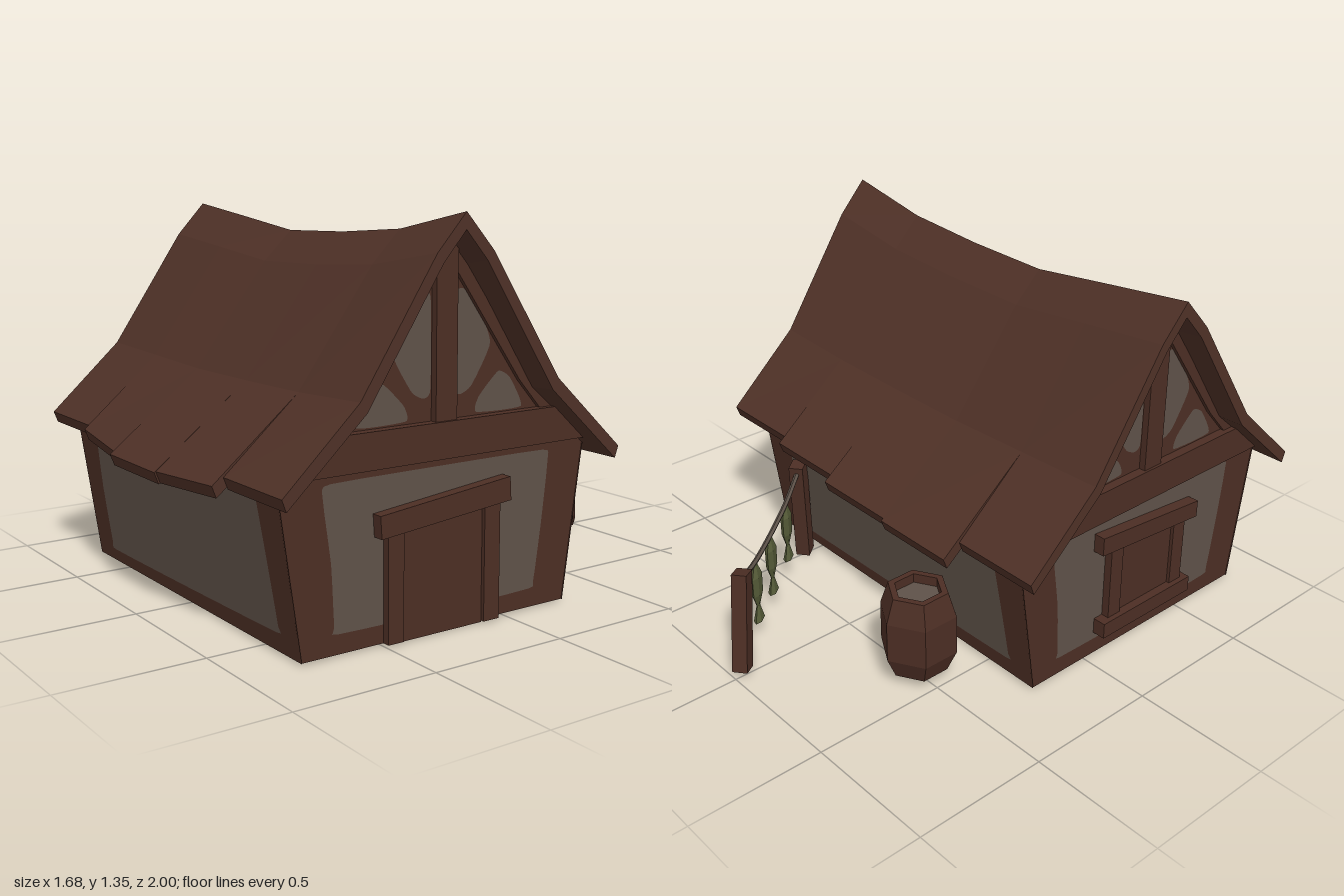
import * as THREE from 'three';

const mat = (name, color, side = THREE.FrontSide) => {
  const m = new THREE.MeshStandardMaterial({ color, side, flatShading: true });
  m.name = name;
  return m;
};

export function createModel() {
  const house = new THREE.Group();
  house.name = 'cottage';
  const timber = mat('timber brown', 0x4c2e24);
  const wallTimber = mat('wall timber brown', 0x4c2e24, THREE.DoubleSide);
  const plaster = mat('plaster grey', 0x5f5249, THREE.DoubleSide);
  const roofMat = mat('roof brown', 0x4f3127, THREE.DoubleSide);
  const fishMat = mat('fish green', 0x555b38);
  const ropeMat = mat('rope grey', 0x5c5148);
  const MID = 0.27; // z of the ridge

  const add = (name, geo, material, parent = house) => {
    const m = new THREE.Mesh(geo, material);
    m.name = name;
    parent.add(m);
    return m;
  };
  const shapeOf = pts => new THREE.Shape(pts.map(p => new THREE.Vector2(...p)));

  // Prism with a [z, y] outline running from x0 to x1
  const prism = (name, pts, x0, x1, material = timber) => {
    const geo = new THREE.ExtrudeGeometry(shapeOf(pts.map(([z, y]) => [-z, y])),
      { depth: x1 - x0, bevelEnabled: false });
    geo.rotateY(Math.PI / 2);
    geo.translate(x0, 0, 0);
    return add(name, geo, material);
  };

  // Flat timber panel with smooth-edged plaster patches, mapped from (u, v) to space
  const panel = (name, outline, patches, map) => {
    const place = geo => {
      const p = geo.attributes.position;
      for (let i = 0; i < p.count; i++) p.setXYZ(i, ...map(p.getX(i), p.getY(i)));
      geo.computeVertexNormals();
      return geo;
    };
    const frame = shapeOf(outline);
    for (const pts of patches) {
      const curve = new THREE.CatmullRomCurve3(
        pts.map(([u, v]) => new THREE.Vector3(u, v, 0)), true, 'catmullrom', 0.25);
      const soft = curve.getPoints(36).slice(0, -1).map(p => [p.x, p.y]);
      frame.holes.push(new THREE.Path(soft.map(p => new THREE.Vector2(...p))));
      add(name + 'Plaster', place(new THREE.ShapeGeometry(shapeOf(soft))), plaster);
    }
    add(name + 'Frame', place(new THREE.ShapeGeometry(frame)), wallTimber);
  };

  // Long walls, leaning outwards
  const longOutline = [[-0.73, 0.01], [0.73, 0.01], [0.73, 0.58], [-0.73, 0.58]];
  const longPatch = [[-0.58, 0.055], [0, 0.062], [0.6, 0.075], [0.615, 0.1], [0.605, 0.3], [0.59, 0.52],
    [0.57, 0.545], [0, 0.55], [-0.55, 0.545], [-0.575, 0.52], [-0.6, 0.3], [-0.6, 0.08]];
  for (const s of [1, -1]) {
    panel(s > 0 ? 'frontWall' : 'backWall', longOutline, [longPatch],
      (u, v) => [s * u, v, MID + s * (0.53 + 0.145 * (v - 0.01))]);
  }

  // End walls and gables; u is the distance from the ridge
  const endOutline = [[-0.53, 0.01], [0.53, 0.01], [0.613, 0.58], [-0.613, 0.58]];
  const endPatch = [[-0.4, 0.075], [0, 0.07], [0.38, 0.075], [0.4, 0.1], [0.43, 0.3], [0.455, 0.52],
    [0.43, 0.55], [0, 0.552], [-0.42, 0.55], [-0.45, 0.52], [-0.42, 0.3], [-0.41, 0.1]];
  const gableOutline = [[-0.6, 0.57], [0.6, 0.57], [0.36, 0.8], [0.09, 1.2], [0, 1.29], [-0.09, 1.2], [-0.36, 0.8]];
  const upper = [[0.047, 1.09], [0.046, 0.8], [0.075, 0.775], [0.12, 0.8], [0.195, 0.93], [0.14, 1.06], [0.085, 1.11]];
  const lower = [[0.33, 0.71], [0.14, 0.71], [0.15, 0.76], [0.23, 0.835], [0.28, 0.81]];
  const flip = pts => pts.map(([u, v]) => [-u, v]).reverse();
  for (const s of [1, -1]) {
    const side = s > 0 ? 'left' : 'right';
    const map = (u, v) => [s * 0.725, v, MID - s * u];
    panel(side + 'EndWall', endOutline, [endPatch], map);
    panel(side + 'Gable', gableOutline, [upper, flip(upper), lower, flip(lower)], map);
    // Tie beam, king post and rafters
    const range = (a, b) => (s > 0 ? [a, b] : [-b, -a]);
    prism(side + 'TieBeam', [[MID - 0.61, 0.58], [MID + 0.61, 0.58], [MID + 0.47, 0.7], [MID - 0.47, 0.7]],
      ...range(0.7, 0.76));
    prism(side + 'KingPost', [[MID - 0.042, 0.7], [MID + 0.042, 0.7], [MID + 0.042, 1.25], [MID - 0.042, 1.25]],
      ...range(0.7, 0.75));
    for (const t of [1, -1]) {
      prism(side + 'Rafter', [[0.47, 0.7], [0.31, 0.8], [0.03, 1.19], [0, 1.21], [0, 1.285], [0.09, 1.195],
        [0.36, 0.79], [0.455, 0.7]].slice(1).concat([[0.4, 0.7]]).map(([u, v]) => [MID + t * u, v]),
      ...range(0.7, 0.74));
    }
  }

  // Ceiling
  const ceiling = add('ceiling', new THREE.PlaneGeometry(1.45, 1.2), wallTimber);
  ceiling.rotation.x = Math.PI / 2;
  ceiling.position.set(0, 0.57, MID);

  // Sagging roof: five strips, each with its own eave length at front and back
  const columns = [-0.84, -0.5, -0.17, 0.17, 0.5, 0.84];
  const ridge = [1.34, 1.3, 1.26, 1.268, 1.29, 1.355];
  const frontEave = [[0.66, 0.66], [0.68, 0.715], [0.73, 0.73], [0.725, 0.7], [0.66, 0.66]];
  const backEave = [[0.67, 0.67], [0.74, 0.74], [0.73, 0.73], [0.7, 0.7], [0.67, 0.67]];
  const section = (h, front, back) => {
    const sag = h - 1.35;
    const half = (s, eave) => {
      const ey = 0.56 - (eave - 0.66) * 0.55;
      return {
        top: [[s * eave, ey], [s * 0.39, 0.81 + sag * 0.25], [s * 0.11, 1.23 + sag * 0.85]],
        under: [[s * (eave - 0.015), ey - 0.04], [s * 0.365, 0.775 + sag * 0.25], [s * 0.085, 1.2 + sag * 0.85]],
      };
    };
    const f = half(1, front), b = half(-1, back);
    return [...f.top, [0, h], ...b.top.reverse(), ...b.under, [0, h - 0.055], ...f.under.reverse()]
      .map(([d, y]) => [MID + d, y]);
  };
  for (let i = 0; i < 5; i++) {
    const ends = [0, 1].map(k => section(ridge[i + k], frontEave[i][k], backEave[i][k])
      .map(([z, y]) => [columns[i + k], y, z]));
    const [a, b] = ends, n = a.length, v = [];
    for (let j = 0; j < n; j++) {
      const k = (j + 1) % n;
      v.push(...a[j], ...b[j], ...b[k], ...a[j], ...b[k], ...a[k]);
    }
    for (let j = 0; j < 6; j++) { // end caps between upper and lower profile
      const p = n - 1 - j, q = p - 1;
      v.push(...a[j], ...a[j + 1], ...a[q], ...a[j], ...a[q], ...a[p]);
      v.push(...b[j], ...b[q], ...b[j + 1], ...b[j], ...b[p], ...b[q]);
    }
    const geo = new THREE.BufferGeometry();
    geo.setAttribute('position', new THREE.Float32BufferAttribute(v, 3));
    geo.computeVertexNormals();
    add('roofStrip', geo, roofMat);
  }

  // Door with a crooked lintel
  const rect = (z0, z1, y0, y1) => [[z0, y0], [z1, y0], [z1, y1], [z0, y1]];
  prism('door', rect(0.11, 0.435, 0.005, 0.41), 0.715, 0.738);
  prism('doorPost', rect(0.435, 0.495, 0.01, 0.39), 0.7, 0.752);
  prism('doorPost', rect(0.045, 0.11, 0.01, 0.42), 0.7, 0.752);
  prism('doorLintel', [[0.01, 0.41], [0.53, 0.36], [0.535, 0.435], [0.015, 0.49]], 0.7, 0.766);

  // Shuttered window on the far end
  prism('shutter', rect(0.1, 0.44, 0.14, 0.45), -0.742, -0.715);
  for (const z of [0.08, 0.41]) prism('windowPost', rect(z, z + 0.06, 0.13, 0.45), -0.755, -0.7);
  prism('windowLintel', [[0.02, 0.45], [0.52, 0.41], [0.52, 0.475], [0.02, 0.52]], -0.768, -0.7);
  prism('windowSill', rect(0.04, 0.5, 0.1, 0.16), -0.775, -0.7);

  // Six-sided open barrel
  const barrel = new THREE.Group();
  barrel.name = 'barrel';
  barrel.position.set(-0.39, 0, -0.49);
  house.add(barrel);
  const profile = [[0, 0.04], [0.105, 0.04], [0.14, 0.12], [0.14, 0.27], [0.11, 0.36], [0.085, 0.36], [0.085, 0.32]];
  add('barrelStaves', new THREE.LatheGeometry(profile.map(p => new THREE.Vector2(...p)), 6), timber, barrel);
  const fill = add('barrelFill', new THREE.CircleGeometry(0.09, 6, Math.PI / 2), plaster, barrel);
  fill.rotation.x = -Math.PI / 2;
  fill.position.y = 0.325;

  // Drying rack: two leaning posts, a slack rope and three fish
  const yaw = Math.atan2(-0.5, 0.4);
  const post = (base, top) => {
    const a = new THREE.Vector3(...base), b = new THREE.Vector3(...top);
    const geo = new THREE.BoxGeometry(0.065, a.distanceTo(b), 0.055);
    geo.rotateY(yaw);
    const m = add('rackPost', geo, timber);
    m.position.copy(a).add(b).multiplyScalar(0.5);
    m.quaternion.setFromUnitVectors(new THREE.Vector3(0, 1, 0), b.sub(a).normalize());
  };
  post([0.515, 0.005, -0.33], [0.495, 0.42, -0.355]);
  post([0.015, 0.02, -0.96], [0.06, 0.38, -0.905]);
  const rope = new THREE.CatmullRomCurve3([[0.48, 0.39, -0.37], [0.38, 0.345, -0.5], [0.275, 0.315, -0.645],
    [0.165, 0.315, -0.785], [0.07, 0.345, -0.9]].map(p => new THREE.Vector3(...p)));
  add('rope', new THREE.TubeGeometry(rope, 12, 0.01, 5), ropeMat);
  const fishProfile = [[0, -0.235], [0.034, -0.235], [0.011, -0.175], [0.035, -0.12], [0.036, -0.045], [0.012, 0], [0, 0]]
    .map(p => new THREE.Vector2(...p));
  for (const [x, y, z] of [[0.38, 0.345, -0.5], [0.275, 0.31, -0.645], [0.155, 0.315, -0.79]]) {
    const geo = new THREE.LatheGeometry(fishProfile, 6, Math.PI / 6);
    geo.scale(1.15, 1, 0.5);
    geo.rotateY(Math.atan2(0.5, -0.4));
    add('hangingFish', geo, fishMat).position.set(x, y, z);
  }
  return house;
}
